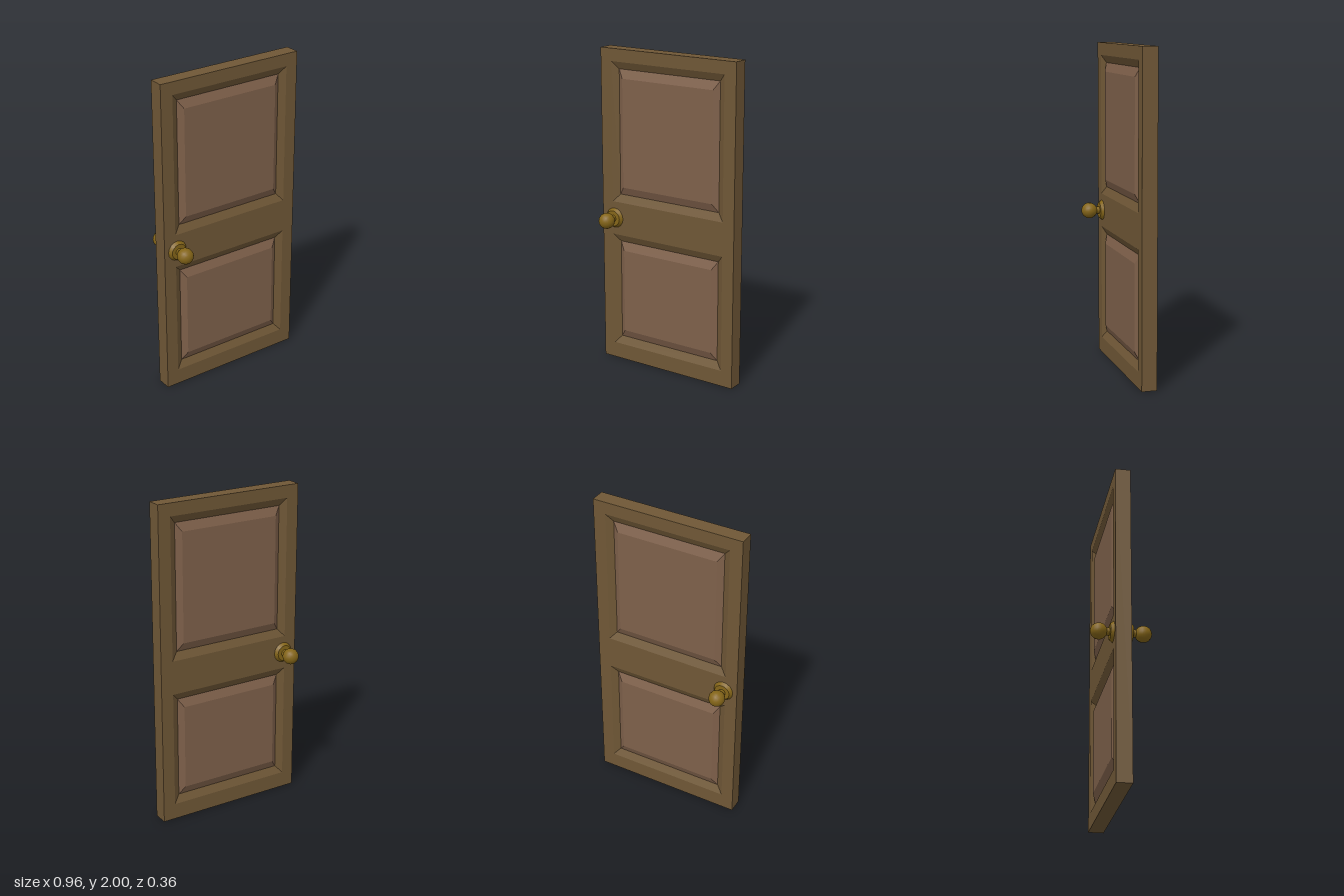
import * as THREE from 'three';

const HALF_W = 0.48, HEIGHT = 2, HALF_T = 0.047;
const GROOVE_Z = 0.023, FIELD_Z = 0.044;

const wood = new THREE.MeshStandardMaterial({ color: 0x6f5736, flatShading: true });
const panelWood = new THREE.MeshStandardMaterial({ color: 0x7e604a, flatShading: true });
const brass = new THREE.MeshStandardMaterial({ color: 0x846518 });

function add(parent, name, geometry, material) {
  const mesh = new THREE.Mesh(geometry, material);
  mesh.name = name;
  parent.add(mesh);
  return mesh;
}

// Corners of an upright rectangle, counter-clockwise seen from +z
const corners = ({ w, y0, y1, z }) => [[-w, y0, z], [w, y0, z], [w, y1, z], [-w, y1, z]];

// Four-sided band from an outer rectangle to the next one, optionally capped
function rectLoft(rects, cap = false) {
  const pos = [];
  const quad = (a, b, c, d) => pos.push(...a, ...b, ...c, ...a, ...c, ...d);
  for (let r = 0; r < rects.length - 1; r++) {
    const a = corners(rects[r]), b = corners(rects[r + 1]);
    for (let i = 0; i < 4; i++) {
      const j = (i + 1) % 4;
      quad(a[i], a[j], b[j], b[i]);
    }
  }
  if (cap) quad(...corners(rects[rects.length - 1]));
  const geo = new THREE.BufferGeometry();
  geo.setAttribute('position', new THREE.Float32BufferAttribute(pos, 3));
  geo.computeVertexNormals();
  return geo;
}

const outline = (path, { w, y0, y1 }) =>
  path.moveTo(-w, y0).lineTo(w, y0).lineTo(w, y1).lineTo(-w, y1).closePath();

// One face of the door: rails and stiles, sloped mouldings, raised panels
function doorFace(name) {
  const face = new THREE.Group();
  face.name = name;
  const shape = new THREE.Shape();
  outline(shape, { w: HALF_W, y0: 0, y1: HEIGHT });

  const openings = [
    ['upper', 1.045, 1.922],
    ['lower', 0.1, 0.833],
  ];
  for (const [label, y0, y1] of openings) {
    const opening = { w: 0.402, y0, y1, z: HALF_T };
    const groove = { w: 0.36, y0: y0 + 0.048, y1: y1 - 0.046, z: GROOVE_Z };
    const field = { w: 0.323, y0: y0 + 0.098, y1: y1 - 0.1, z: FIELD_Z };
    const hole = new THREE.Path();
    outline(hole, opening);
    shape.holes.push(hole);
    add(face, label + 'Moulding', rectLoft([opening, groove]), wood);
    add(face, label + 'Panel', rectLoft([groove, field], true), panelWood);
  }
  add(face, 'railsAndStiles', new THREE.ShapeGeometry(shape), wood).position.z = HALF_T;
  return face;
}

// Knob on its rosette, pointing along +z
function doorKnob(name) {
  const knob = new THREE.Group();
  knob.name = name;
  const turned = (part, rTop, rBottom, z0, z1) => {
    const geo = new THREE.CylinderGeometry(rTop, rBottom, z1 - z0, 16).rotateX(Math.PI / 2);
    add(knob, part, geo, brass).position.z = (z0 + z1) / 2;
  };
  turned('rosette', 0.049, 0.063, HALF_T, 0.067);
  turned('stem', 0.023, 0.023, 0.06, 0.1);
  const ball = new THREE.SphereGeometry(0.05, 14, 12).rotateX(Math.PI / 2);
  add(knob, 'ball', ball, brass).position.z = 0.131;
  knob.position.set(-0.39, 0.94, 0);
  return knob;
}

export function createModel() {
  const door = new THREE.Group();
  door.name = 'door';

  // Outer edges of the slab
  const rim = { w: HALF_W, y0: 0, y1: HEIGHT };
  add(door, 'slabEdges', rectLoft([{ ...rim, z: -HALF_T }, { ...rim, z: HALF_T }]), wood);

  // Both sides carry the same panelling and a knob
  const backFace = doorFace('backFace');
  const backKnob = doorKnob('backKnob');
  backFace.rotation.y = backKnob.rotation.y = Math.PI;
  door.add(doorFace('frontFace'), backFace, doorKnob('frontKnob'), backKnob);
  return door;
}
